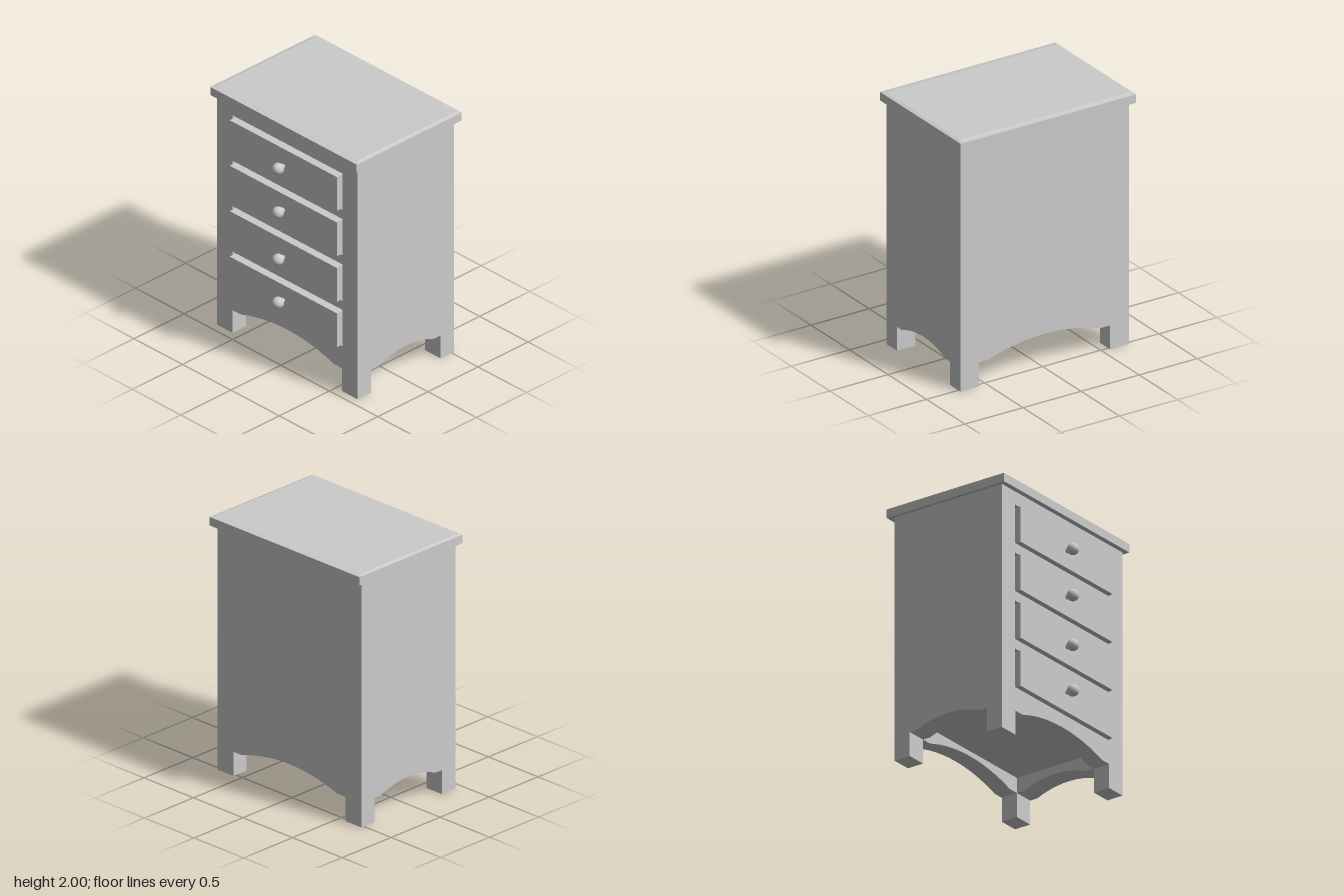
import * as THREE from 'three';

const material = new THREE.MeshStandardMaterial({ color: 0xcccccc });

// Main dimensions
const HALF_W = 0.725, FRONT = 0.435, BACK = -0.525;
const LEG_X = 0.16, LEG_Z = 0.135;
const BODY_TOP = 1.925, RAIL = 0.19, FLOOR = 0.31;
const INNER_X = HALF_W - LEG_X, INNER_FRONT = FRONT - LEG_Z, INNER_BACK = BACK + LEG_Z;

function add(parent, name, geometry, x = 0, y = 0, z = 0) {
  const mesh = new THREE.Mesh(geometry, material);
  mesh.name = name;
  mesh.position.set(x, y, z);
  parent.add(mesh);
  return mesh;
}

// Panel outline with an arched lower edge; legs reach the ground beyond `inner`
function archedPanel(outer, inner, archHalf, archTop) {
  const shape = new THREE.Shape();
  if (outer > inner) {
    shape.moveTo(-outer, 0);
    shape.lineTo(-inner, 0);
    shape.lineTo(-inner, RAIL);
  } else {
    shape.moveTo(-inner, RAIL);
  }
  // Circular arch through both ends and the crown
  const rise = archTop - RAIL;
  const radius = (archHalf * archHalf + rise * rise) / (2 * rise);
  const sweep = Math.asin(archHalf / radius);
  for (let i = 0; i <= 24; i++) {
    const a = -sweep + (2 * sweep * i) / 24;
    shape.lineTo(radius * Math.sin(a), archTop - radius + radius * Math.cos(a));
  }
  shape.lineTo(inner, RAIL);
  if (outer > inner) {
    shape.lineTo(inner, 0);
    shape.lineTo(outer, 0);
  }
  shape.lineTo(outer, BODY_TOP);
  shape.lineTo(-outer, BODY_TOP);
  shape.closePath();
  return shape;
}

function rectangleHole(x, y0, y1) {
  return new THREE.Path([
    new THREE.Vector2(-x, y0), new THREE.Vector2(-x, y1),
    new THREE.Vector2(x, y1), new THREE.Vector2(x, y0),
  ]);
}

function extrude(shape, depth) {
  return new THREE.ExtrudeGeometry(shape, { depth, bevelEnabled: false });
}

// Slab whose upper rim slopes gently inward
function topSlab() {
  const width = 1.51, height = 0.075, depth = 1.05;
  const box = new THREE.BoxGeometry(width, height, depth, 1, 2, 1);
  const p = box.attributes.position;
  for (let i = 0; i < p.count; i++) {
    const y = p.getY(i);
    if (y > 0.01) {
      p.setX(i, p.getX(i) - Math.sign(p.getX(i)) * 0.025);
      p.setZ(i, p.getZ(i) - Math.sign(p.getZ(i)) * 0.045);
    } else if (y > -0.01) {
      p.setY(i, height / 2 - 0.008);
    }
  }
  const flat = box.toNonIndexed();
  flat.computeVertexNormals();
  return flat;
}

export function createModel() {
  const model = new THREE.Group();
  model.name = 'chestOfDrawers';

  const drawers = [
    { bottom: 0.38, knob: 0.535 },
    { bottom: 0.76, knob: 0.895 },
    { bottom: 1.14, knob: 1.29 },
    { bottom: 1.52, knob: 1.655 },
  ];

  // Front frame with drawer openings, and plain back
  const frontShape = archedPanel(HALF_W, INNER_X, 0.48, 0.27);
  for (const d of drawers) frontShape.holes.push(rectangleHole(0.567, d.bottom - 0.003, d.bottom + 0.3));
  add(model, 'frontFrame', extrude(frontShape, LEG_Z), 0, 0, INNER_FRONT);
  add(model, 'backPanel', extrude(archedPanel(HALF_W, INNER_X, 0.48, 0.27), LEG_Z), 0, 0, BACK);

  // Side panels between the corner legs
  const halfSide = (INNER_FRONT - INNER_BACK) / 2;
  const midZ = (INNER_FRONT + INNER_BACK) / 2;
  const sideGeometry = extrude(archedPanel(halfSide, halfSide, 0.28, 0.247), LEG_X);
  sideGeometry.translate(0, 0, -LEG_X / 2).rotateY(Math.PI / 2);
  for (const s of [-1, 1]) {
    add(model, s > 0 ? 'leftSide' : 'rightSide', sideGeometry, s * (HALF_W - LEG_X / 2), 0, midZ);
  }

  // Inner carcass, closing the floor and the backs of the openings
  add(model, 'carcass', new THREE.BoxGeometry(INNER_X * 2 + 0.02, BODY_TOP - FLOOR, halfSide * 2),
    0, (BODY_TOP + FLOOR) / 2, midZ);

  add(model, 'top', topSlab(), 0, 1.9625, -0.05);

  // Drawers with round knobs
  const frontGeometry = new THREE.BoxGeometry(1.11, 0.28, 0.175);
  const stemGeometry = new THREE.CylinderGeometry(0.018, 0.018, 0.05, 16).rotateX(Math.PI / 2);
  const knobGeometry = new THREE.SphereGeometry(0.045, 24, 16).rotateX(Math.PI / 2);
  drawers.forEach((d, i) => {
    const drawer = new THREE.Group();
    drawer.name = `drawer${i + 1}`;
    add(drawer, 'drawerFront', frontGeometry, 0, d.bottom + 0.14, 0.3875);
    add(drawer, 'knobStem', stemGeometry, 0, d.knob, 0.485);
    add(drawer, 'knob', knobGeometry, 0, d.knob, 0.53);
    model.add(drawer);
  });

  return model;
}
